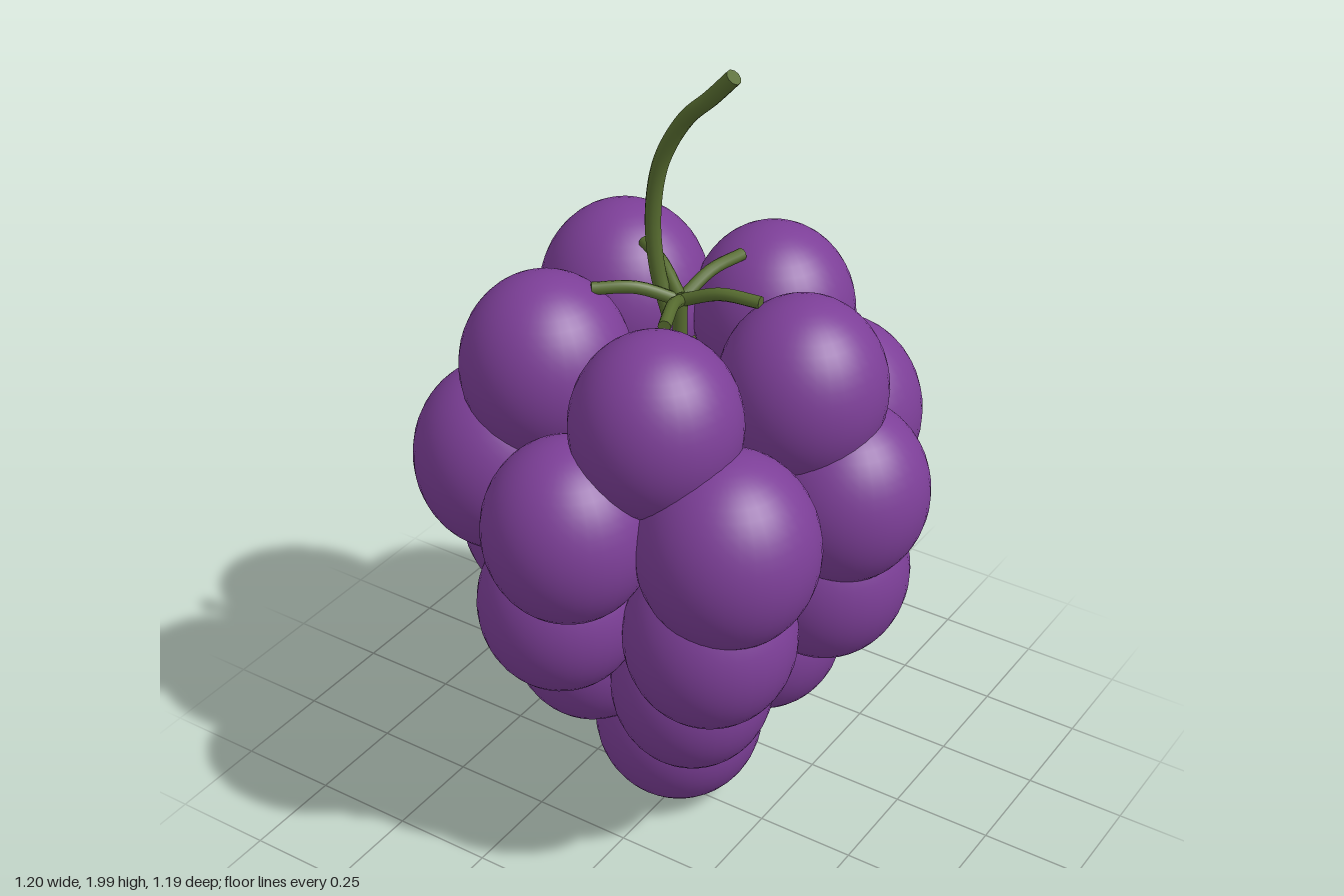
import * as THREE from 'three';

const skin = new THREE.MeshStandardMaterial({ color: 0x7d3f98 });
skin.name = 'purple skin';
const wood = new THREE.MeshStandardMaterial({ color: 0x566b2f });
wood.name = 'olive stem';

// Grape tiers from top to tip: each grape is [x, y, z, radius]
const tiers = [
  [[0.06, 1.265, -0.32, 0.195], [-0.275, 1.275, -0.19, 0.205], [-0.24, 1.265, 0.18, 0.2],
    [0.115, 1.265, 0.265, 0.195], [0.3, 1.265, -0.05, 0.195]],
  [[-0.165, 1.01, -0.395, 0.205], [0.2, 1.005, -0.38, 0.213], [-0.405, 1.01, -0.14, 0.195],
    [-0.35, 1.005, 0.215, 0.21], [-0.035, 1.01, 0.395, 0.198], [0.3, 1.005, 0.26, 0.21],
    [0.4, 1.01, -0.08, 0.198]],
  [[-0.105, 0.75, 0.335, 0.196], [-0.35, 0.75, 0.065, 0.198], [-0.25, 0.755, -0.25, 0.2],
    [0.08, 0.755, -0.35, 0.203], [0.34, 0.755, -0.11, 0.202], [0.25, 0.745, 0.25, 0.202]],
  [[0.135, 0.495, 0.145, 0.196], [0.155, 0.495, -0.145, 0.198], [-0.1, 0.495, -0.172, 0.2],
    [-0.178, 0.49, 0.11, 0.201]],
  [[-0.005, 0.235, -0.012, 0.21]],
];

function tube(name, points, radius, segments) {
  const curve = new THREE.CatmullRomCurve3(points.map(p => new THREE.Vector3(...p)));
  const group = new THREE.Group();
  group.name = name;
  const body = new THREE.Mesh(new THREE.TubeGeometry(curve, segments, radius, 10), wood);
  body.name = name + 'Body';
  group.add(body);
  // Close both ends
  for (const [t, sign] of [[0, -1], [1, 1]]) {
    const cap = new THREE.Mesh(new THREE.CircleGeometry(radius, 10), wood);
    cap.name = name + 'Cap';
    cap.position.copy(curve.getPoint(t));
    cap.lookAt(cap.position.clone().addScaledVector(curve.getTangent(t), sign));
    group.add(cap);
  }
  return group;
}

export function createModel() {
  const model = new THREE.Group();
  model.name = 'grapeBunch';
  const berry = new THREE.SphereGeometry(1, 36, 24);
  const cx = -0.005, cz = -0.015;

  tiers.forEach((tier, i) => {
    const group = new THREE.Group();
    group.name = 'grapeTier' + (i + 1);
    for (const [x, y, z, r] of tier) {
      const grape = new THREE.Mesh(berry, skin);
      grape.name = 'grape';
      grape.position.set(x, y, z);
      grape.scale.set(r, r * (i === 4 ? 1.07 : 1.115), r);
      group.add(grape);

      // Small stalk arching from the central stem to the grape
      if (i < 4) {
        const d = Math.hypot(x - cx, z - cz), dx = (x - cx) / d, dz = (z - cz) / d;
        const reach = i === 0 ? 0.2 : d * 0.6;
        const at = (s, h) => [cx + dx * reach * s, y + h, cz + dz * reach * s];
        group.add(tube('grapeStalk', [at(0, 0.145), at(0.5, 0.185), at(1, 0.188)], 0.015, 10));
      }
    }
    model.add(group);
  });

  // Central stem inside the bunch, and the curved stem above it
  model.add(tube('innerStem', [[cx, 0.4, cz], [cx, 0.9, cz], [cx, 1.42, cz]], 0.018, 8));
  model.add(tube('stem', [[-0.035, 1.37, cz], [-0.065, 1.47, cz], [-0.077, 1.6, cz],
    [-0.055, 1.74, cz], [0.01, 1.86, cz], [0.075, 1.925, cz], [0.13, 1.985, cz]], 0.019, 32));
  return model;
}
